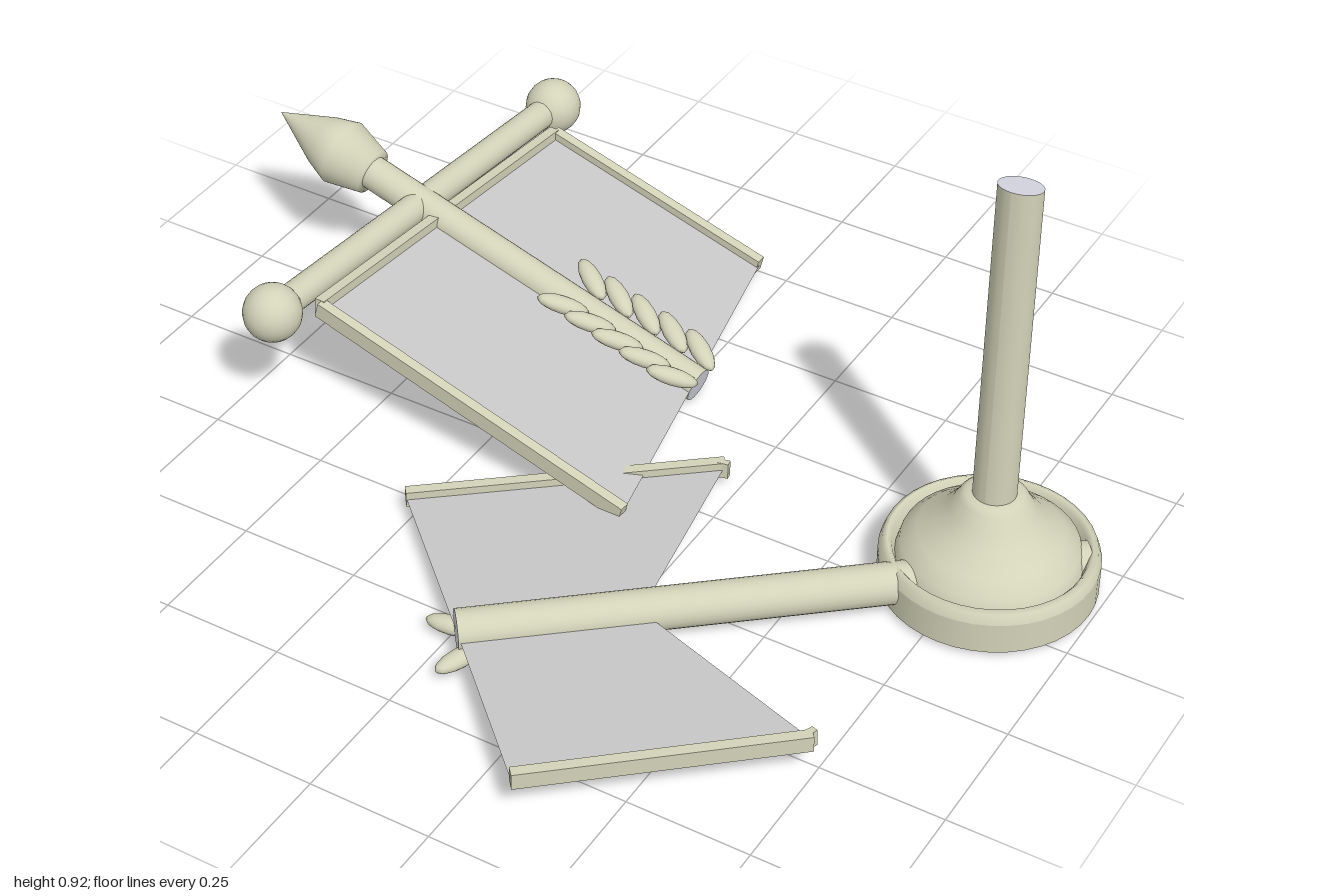
import * as THREE from 'three';

const V = (x, y, z) => new THREE.Vector3(x, y, z);
const UP = V(0, 1, 0);

export function createModel() {
  const bone = new THREE.MeshStandardMaterial({ name: 'bone', color: 0xd3d3b9, side: THREE.DoubleSide });
  const cloth = new THREE.MeshStandardMaterial({ name: 'grey cloth', color: 0xc8c8c8, side: THREE.DoubleSide });
  const pale = new THREE.MeshStandardMaterial({ name: 'pale core', color: 0xdadae6 });
  const model = new THREE.Group();
  model.name = 'brokenStandard';

  const add = (name, geometry, material, parent = model) => {
    const mesh = new THREE.Mesh(geometry, material);
    mesh.name = name;
    parent.add(mesh);
    return mesh;
  };
  // Round rod between two points, with pale cut ends
  const rod = (name, a, b, r) => {
    const m = add(name, new THREE.CylinderGeometry(r, r, a.distanceTo(b), 24), [bone, pale, pale]);
    m.position.copy(a).add(b).multiplyScalar(0.5);
    m.quaternion.setFromUnitVectors(UP, b.clone().sub(a).normalize());
    return m;
  };
  // Narrow bar along a cloth edge
  const trim = (name, a, b) => {
    const m = add(name, new THREE.BoxGeometry(0.022, 0.034, a.distanceTo(b)), bone);
    m.position.copy(a).add(b).multiplyScalar(0.5);
    m.lookAt(b);
  };
  // Flat four-cornered cloth
  const sheet = (name, pts) => {
    const g = new THREE.BufferGeometry().setFromPoints(pts);
    g.setIndex([0, 1, 2, 0, 2, 3]);
    g.computeVertexNormals();
    add(name, g, cloth);
  };
  // Leaf pointing along a direction
  const leafShape = new THREE.SphereGeometry(1, 12, 8);
  const leaf = (center, dir) => {
    const m = add('leaf', leafShape, bone);
    m.position.copy(center);
    m.scale.set(0.021, 0.017, 0.056);
    m.lookAt(center.clone().add(dir));
  };

  // Base: rim, groove and flared foot
  const base = new THREE.Group();
  base.name = 'base';
  base.position.set(0.785, 0, -0.105);
  model.add(base);
  const lathe = (pts) => new THREE.LatheGeometry(pts.map(([x, y]) => new THREE.Vector2(x, y)), 40);
  add('baseRimSide', lathe([[0.21, 0.015], [0.21, 0.08]]), bone, base);
  add('baseRimTop', lathe([[0.21, 0.08], [0.203, 0.1], [0.193, 0.105], [0.185, 0.095], [0.178, 0.075]]), bone, base);
  add('baseFoot', lathe([[0.178, 0.075], [0.17, 0.105], [0.14, 0.13], [0.105, 0.16], [0.08, 0.19],
    [0.066, 0.215], [0.055, 0.224], [0.04, 0.226]]), bone, base);
  const under = add('baseUnderside', new THREE.CircleGeometry(0.21, 40), cloth, base);
  under.rotation.x = Math.PI / 2;
  under.position.y = 0.015;

  // Upright post with a slanted break at the top
  const post = rod('post', V(0.785, 0.18, -0.105), V(0.785, 0.915, -0.105), 0.042);
  const p = post.geometry.attributes.position;
  for (let i = 0; i < p.count; i++) {
    if (p.getY(i) > 0) p.setY(i, p.getY(i) + p.getZ(i) * 0.25);
  }
  post.geometry.computeVertexNormals();

  // Fallen staff that runs through the base
  const staffEnd = V(0.035, 0.06, 0.58);
  rod('staff', staffEnd, V(0.95, 0.065, -0.19), 0.041);

  // Lower cloth: two halves with a notch between them
  const notch = V(0.3, 0.062, 0.36);
  const hem = V(0.03, 0.06, 0.575);
  const halves = [
    [V(-0.27, 0.04, 0.29), V(0.215, 0.043, -0.105)],
    [V(0.34, 0.086, 0.875), V(0.745, 0.086, 0.52)],
  ];
  for (const [a, b] of halves) {
    sheet('lowerCloth', [a, b, notch, hem]);
    trim('lowerClothTrim', a, b);
    trim('lowerClothEdge', b, b.clone().lerp(notch, 0.03));
  }

  // Last leaf pair under the broken staff end
  const staffDir = V(-0.765, 0, 0.645);
  const staffSide = V(0.645, 0, 0.765);
  for (const s of [-1, 1]) {
    leaf(staffEnd.clone().addScaledVector(staffSide, s * 0.045).setY(0.032),
      staffDir.clone().addScaledVector(staffSide, s * 0.6));
  }

  // Spear shaft and head
  const tip = V(-1, 0.317, -0.35);
  const tail = V(0.04, 0.04, -0.305);
  const dir = tip.clone().sub(tail).normalize();
  rod('spearShaft', tail, tip.clone().addScaledVector(dir, -0.2), 0.036);
  const head = add('spearHead', lathe([[0, -0.245], [0.05, -0.245], [0.072, -0.165], [0.055, -0.115], [0, 0]]), bone);
  head.position.copy(tip);
  head.quaternion.setFromUnitVectors(UP, dir);

  // Crossbar with ball ends
  const ends = [V(-0.628, 0.187, -0.832), V(-0.657, 0.257, 0.168)];
  rod('crossbar', ends[0], ends[1], 0.031);
  for (const e of ends) add('crossbarBall', new THREE.SphereGeometry(0.06, 20, 14), bone).position.copy(e);

  // Upper cloth, in the plane of shaft and crossbar
  const at = (x, z) => V(x, 0.222 - 0.268 * (x + 0.64) + 0.07 * (z + 0.335), z);
  const upper = [at(-0.575, -0.75), at(-0.055, -0.73), at(0.12, 0.125), at(-0.6, 0.09)];
  sheet('upperCloth', upper);
  trim('upperClothTrim', upper[0], upper[1]);
  trim('upperClothTrim', upper[3], upper[2]);
  trim('upperClothTopTrim', upper[0], upper[3]);

  // Laurel leaves in pairs along the shaft, tips toward the head
  const side = V(0, 0.07, 1).normalize();
  for (let i = 0; i < 5; i++) {
    for (const s of [-1, 1]) {
      const c = tail.clone().addScaledVector(dir, 0.03 + i * 0.068).addScaledVector(side, s * 0.057);
      c.y += 0.036;
      leaf(c, dir.clone().addScaledVector(side, s * 0.6).add(V(0, 0.12, 0)));
    }
  }
  return model;
}
